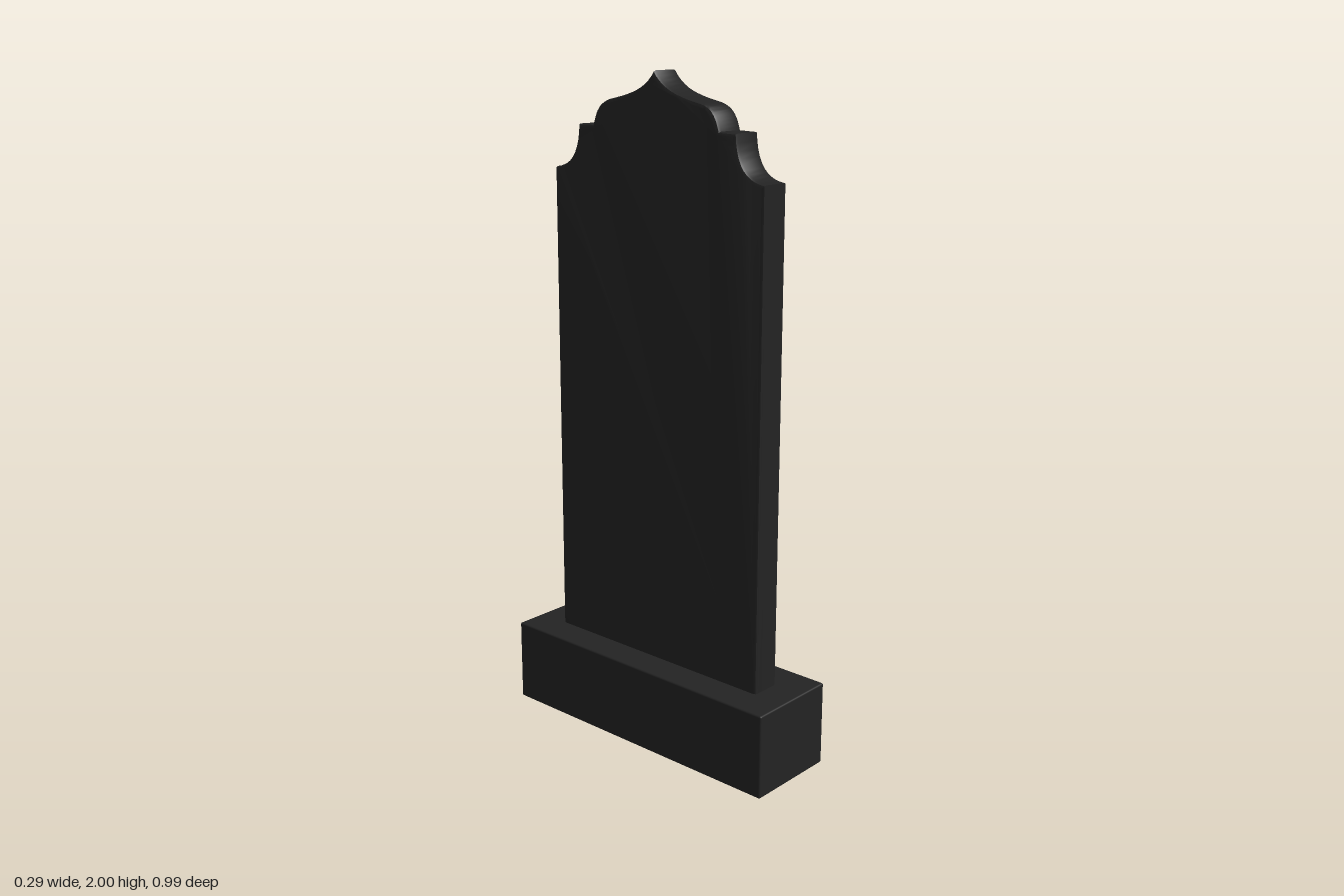
import * as THREE from 'three';
import { toCreasedNormals } from 'three/addons/utils/BufferGeometryUtils.js';
import { RoundedBoxGeometry } from 'three/addons/geometries/RoundedBoxGeometry.js';

const WIDTH = 0.396, THICK = 0.096, BEVEL = 0.01;

// Right half of the slab outline, from the foot up to the pointed tip
function halfOutline() {
  const path = new THREE.Path();
  path.moveTo(WIDTH, 0.24);
  path.lineTo(WIDTH, 1.714);
  path.bezierCurveTo(0.335, 1.722, 0.3, 1.755, 0.296, 1.843); // hollow shoulder
  path.lineTo(0.237, 1.845); // flat step
  path.bezierCurveTo(0.226, 1.885, 0.21, 1.91, 0.17, 1.918); // round haunch
  path.bezierCurveTo(0.09, 1.934, 0.035, 1.95, 0, 2); // sweep to the tip
  return path.getPoints(10);
}

export function createModel() {
  const group = new THREE.Group();
  const stone = new THREE.MeshStandardMaterial({ color: 0x232323 });
  stone.name = 'darkStone';

  // Plinth
  const base = new THREE.Mesh(new RoundedBoxGeometry(0.295, 0.256, 0.99, 2, 0.005), stone);
  base.name = 'base';
  base.position.y = 0.128;
  group.add(base);

  // Upright slab: mirrored outline, extruded with a small chamfer
  const half = halfOutline();
  const mirrored = half.slice(0, -1).reverse().map((p) => new THREE.Vector2(-p.x, p.y));
  const slabGeometry = new THREE.ExtrudeGeometry(new THREE.Shape([...half, ...mirrored]), {
    depth: THICK - 2 * BEVEL,
    bevelEnabled: true,
    bevelThickness: BEVEL,
    bevelSize: BEVEL,
    bevelOffset: -BEVEL,
    bevelSegments: 2,
  });
  slabGeometry.translate(0, 0, -(THICK - 2 * BEVEL) / 2);
  slabGeometry.rotateY(-Math.PI / 2);
  const slab = new THREE.Mesh(toCreasedNormals(slabGeometry, Math.PI / 7), stone);
  slab.name = 'headstoneSlab';
  group.add(slab);

  return group;
}
